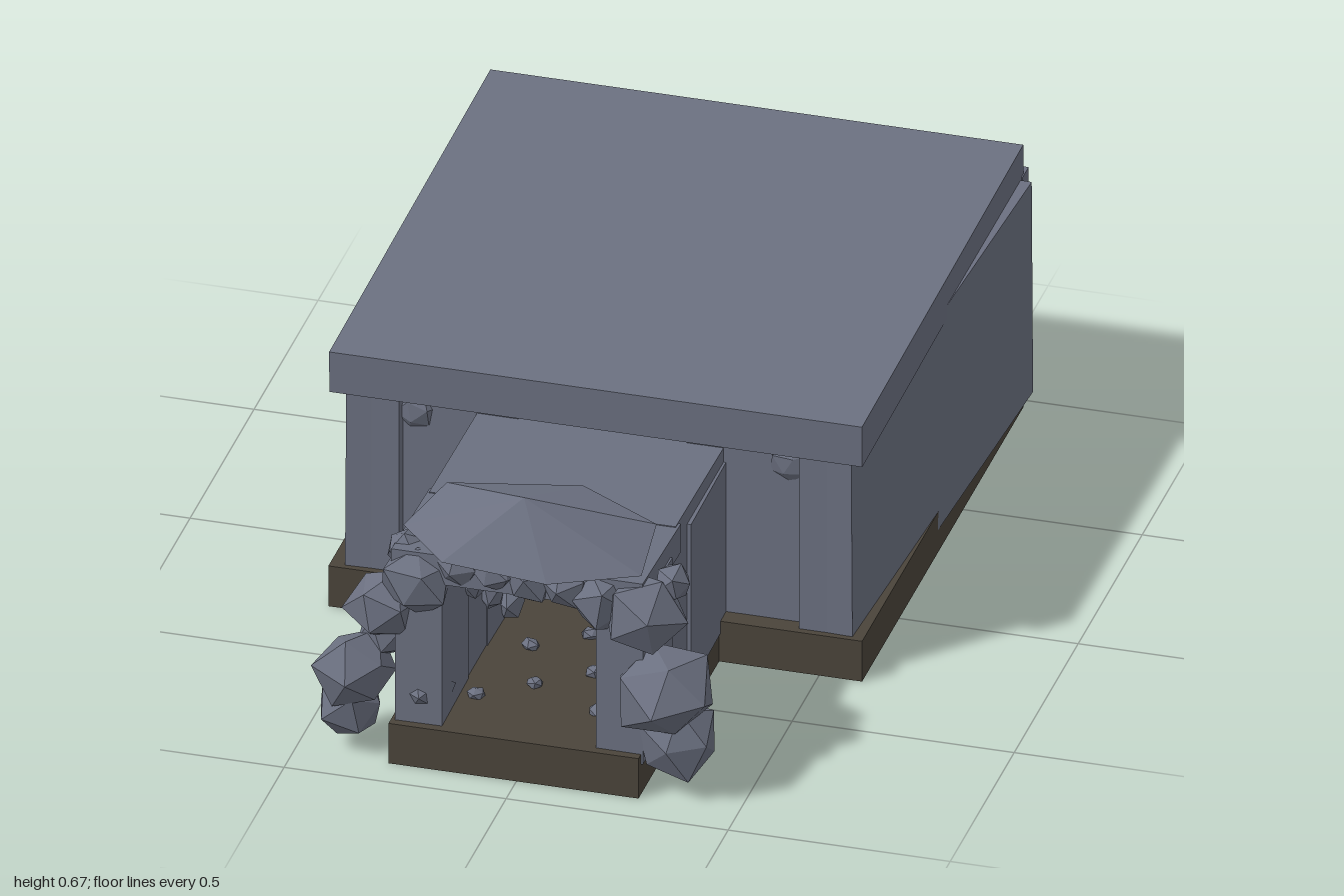
import * as THREE from 'three';

const stone = new THREE.MeshStandardMaterial({ color: 0x6b7080, flatShading: true });
stone.name = 'blueGreyStone';
const earth = new THREE.MeshStandardMaterial({ color: 0x4a443a, flatShading: true });
earth.name = 'brownEarth';

export function createModel() {
  const model = new THREE.Group();
  model.name = 'caveShelter';

  const add = (parent, name, geometry, material) => {
    const mesh = new THREE.Mesh(geometry, material);
    mesh.name = name;
    parent.add(mesh);
    return mesh;
  };

  // Box given by its limits on each axis, optionally turned about y and z
  const slab = (name, [x0, x1], [y0, y1], [z0, z1], material = stone, turnY = 0, turnZ = 0) => {
    const mesh = add(model, name, new THREE.BoxGeometry(x1 - x0, y1 - y0, z1 - z0), material);
    mesh.position.set((x0 + x1) / 2, (y0 + y1) / 2, (z0 + z1) / 2);
    mesh.rotation.set(0, turnY, turnZ);
    return mesh;
  };

  // Floors
  slab('chamberFloor', [-0.605, 0.597], [0, 0.1], [-0.97, 0.29], earth);
  slab('passageFloor', [-0.288, 0.275], [0, 0.099], [0.28, 0.92], earth);

  // Chamber roof, rising slightly to the back
  const roof = slab('chamberRoof', [-0.603, 0.597], [0.542, 0.642], [-0.97, 0.29]);
  roof.rotation.x = 0.016;

  // Chamber walls, splayed outwards to the back
  slab('backWall', [-0.6, 0.6], [0.055, 0.58], [-0.997, -0.95], stone, 0.006);
  for (const side of [-1, 1]) {
    const edge = (a, b) => (side > 0 ? [a, b] : [-b, -a]);
    slab('sideWall', edge(0.5, 0.597), [0.055, 0.575], [-0.95, 0.275], stone, -side * 0.044, side * 0.006);
    slab('frontPillar', edge(0.45, 0.567), [0.09, 0.55], [0.18, 0.274]);
    slab('frontPanel', edge(0.19, 0.46), [0.09, 0.55], [0.16, 0.245]);
    // Passage walls in three uneven lengths
    slab('innerPassageWall', edge(0.175, 0.279), [0.07, 0.47], [0.2, 0.53], stone, side * 0.012);
    slab('middlePassageWall', edge(0.18, 0.272), [0.09, 0.46], [0.51, 0.7]);
    slab('outerPassageWall', edge(0.175, 0.281), [0.075, 0.47], [0.68, 0.9], stone, -side * 0.015);
  }

  // Passage roof in two lengths
  slab('innerPassageRoof', [-0.283, 0.272], [0.44, 0.508], [0.2, 0.62]).rotation.x = -0.018;
  slab('outerPassageRoof', [-0.288, 0.278], [0.445, 0.515], [0.6, 0.9]).rotation.x = -0.04;

  // Rough boulders: icosahedra with corners pushed in and out by a seeded rule
  const rocks = new THREE.Group();
  rocks.name = 'entranceRocks';
  model.add(rocks);
  const rock = (name, x, y, z, sx, sy = sx, sz = sx, seed = 1) => {
    const geometry = new THREE.IcosahedronGeometry(1, 0);
    geometry.rotateX(seed * 1.3);
    geometry.rotateZ(seed * 0.7);
    const p = geometry.attributes.position;
    const v = new THREE.Vector3();
    for (let i = 0; i < p.count; i++) {
      v.fromBufferAttribute(p, i);
      v.multiplyScalar(1 + 0.13 * Math.sin(v.x * 7 + v.y * 11 + v.z * 5 + seed * 2.1));
      p.setXYZ(i, v.x * sx, v.y * sy, v.z * sz);
    }
    add(rocks, name, geometry, stone).position.set(x, y, z);
  };

  // Entrance arch, from the foot of one side over to the other
  const arch = [
    [-0.39, 0.105, 0.86, 0.08], [-0.37, 0.21, 0.89, 0.09],
    [-0.235, 0.16, 0.84, 0.07], [-0.31, 0.37, 0.87, 0.085],
    [-0.32, 0.28, 0.83, 0.07], [-0.23, 0.45, 0.88, 0.085],
    [-0.14, 0.49, 0.87, 0.06], [-0.06, 0.49, 0.88, 0.05],
    [0.02, 0.485, 0.87, 0.06], [0.1, 0.485, 0.88, 0.055],
    [0.18, 0.46, 0.87, 0.08], [0.27, 0.43, 0.87, 0.095],
    [0.33, 0.5, 0.84, 0.045], [0.325, 0.26, 0.89, 0.11],
    [0.35, 0.13, 0.86, 0.095], [0.29, 0.17, 0.82, 0.07],
    [0.22, 0.4, 0.83, 0.055], [-0.27, 0.5, 0.84, 0.045],
  ];
  arch.forEach(([x, y, z, r], i) => rock('archBoulder', x, y, z, r, r, r, i + 1));

  // Wide capstone: ridged lens with an uneven rim
  const rim = [[-0.28, 0.545, 0.83], [-0.16, 0.535, 0.95], [0.08, 0.525, 0.965],
    [0.27, 0.53, 0.88], [0.29, 0.635, 0.83], [0.09, 0.635, 0.71], [-0.2, 0.63, 0.77]];
  const peak = [0, 0.672, 0.86], base = [0.02, 0.52, 0.84];
  const faces = [];
  rim.forEach((a, i) => {
    const b = rim[(i + 1) % rim.length];
    faces.push(...a, ...b, ...peak, ...b, ...a, ...base);
  });
  const cap = new THREE.BufferGeometry();
  cap.setAttribute('position', new THREE.Float32BufferAttribute(faces, 3));
  cap.computeVertexNormals();
  add(rocks, 'capstone', cap, stone);

  // Hanging rocks inside
  rock('hangingRock', 0.01, 0.28, 0.45, 0.095, 0.1, 0.09, 4);
  rock('hangingRock', -0.01, 0.37, 0.45, 0.07, 0.07, 0.07, 7);
  rock('hangingRock', 0, 0.43, 0.45, 0.09, 0.05, 0.08, 2);

  // Small stones set along the passage walls and lying on the floor
  for (let i = 0; i < 6; i++) {
    const side = i % 2 ? 1 : -1;
    rock('wallStone', side * 0.165, 0.14 + 0.05 * i, 0.4 + 0.07 * i, 0.03, 0.045, 0.04, i + 3);
    rock('pebble', -0.14 + 0.055 * i, 0.105, 0.75 - 0.08 * ((i * 3) % 5), 0.022, 0.015, 0.02, i + 9);
  }
  // Chips standing out of the front panels
  for (const side of [-1, 1]) rock('panelChip', side * 0.42, 0.49, 0.24, 0.045, 0.045, 0.025, side + 5);

  return model;
}
